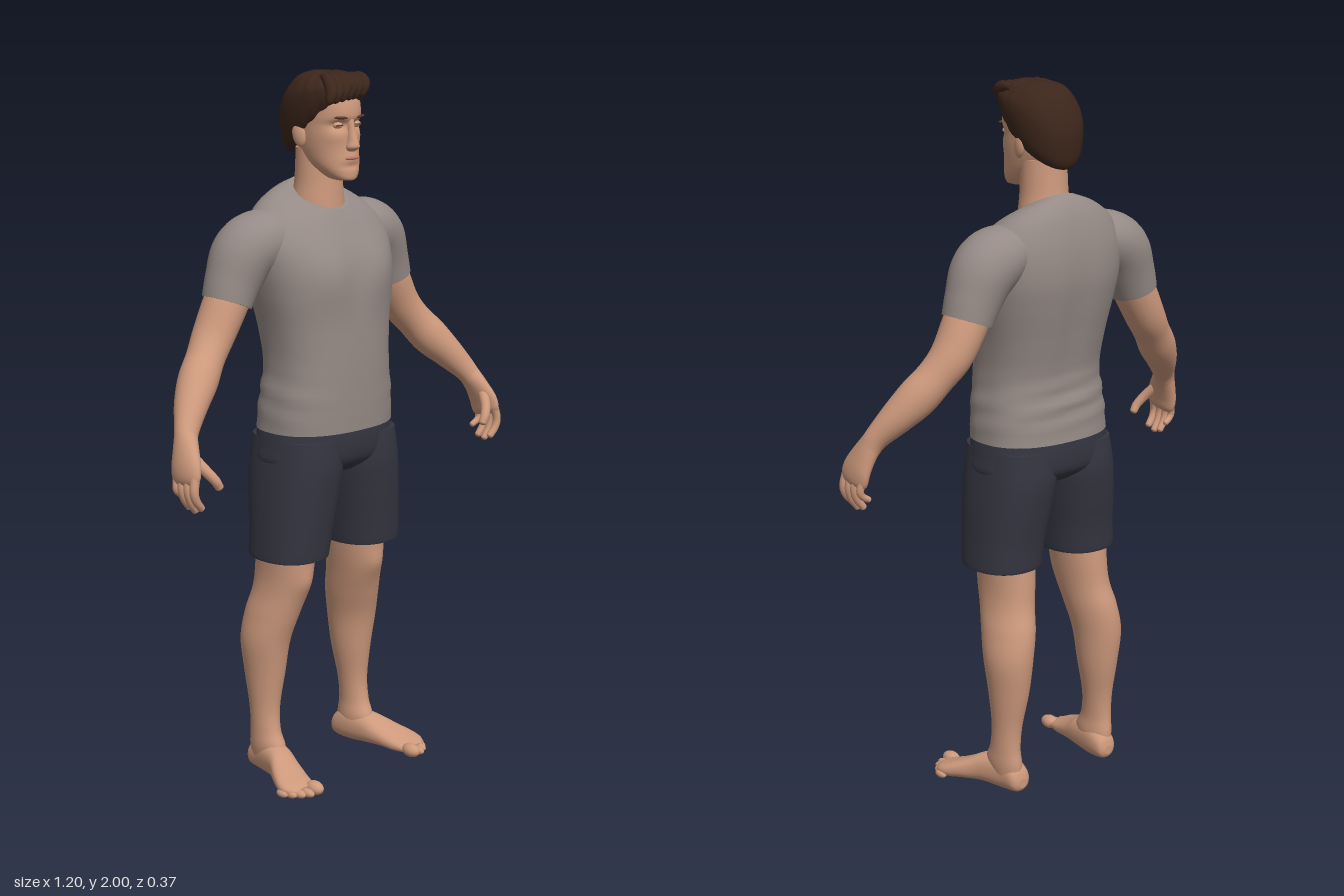
import * as THREE from 'three';

const mat = (name, color) => Object.assign(new THREE.MeshStandardMaterial({ color }), { name });
const V3 = (x, y, z) => new THREE.Vector3(x, y, z);
const bump = (x, y, cx, cy, sx, sy) => Math.exp(-(((x - cx) / sx) ** 2) - ((y - cy) / sy) ** 2);

// Smoothly subdivide a table of section rows
function refine(rows, steps) {
  const out = [], last = rows.length - 1;
  for (let i = 0; i < last; i++) {
    const [a, b, c, d] = [rows[Math.max(i - 1, 0)], rows[i], rows[i + 1], rows[Math.min(i + 2, last)]];
    for (let s = 0; s < steps; s++) {
      const t = s / steps;
      out.push(b.map((p, k) => {
        const cubic = 3 * (p - c[k]) + d[k] - a[k];
        const square = 2 * a[k] - 5 * p + 4 * c[k] - d[k];
        return p + 0.5 * t * (c[k] - a[k] + t * (square + t * cubic));
      }));
    }
  }
  out.push(rows[last]);
  return out;
}

// Skin a list of closed rings, with separate flat end caps
function loft(rings) {
  const n = rings[0].length, m = rings.length, pos = [], idx = [];
  rings.forEach(r => r.forEach(p => pos.push(p.x, p.y, p.z)));
  for (let i = 0; i < m - 1; i++) for (let j = 0; j < n; j++) {
    const a = i * n + j, b = i * n + (j + 1) % n;
    idx.push(a, b, b + n, a, b + n, a + n);
  }
  for (const [ring, end] of [[rings[0], false], [rings[m - 1], true]]) {
    const c = ring.reduce((s, p) => s.add(p), V3(0, 0, 0)).divideScalar(n);
    const base = pos.length / 3;
    [c, ...ring].forEach(p => pos.push(p.x, p.y, p.z));
    for (let j = 0; j < n; j++) {
      const a = base + 1 + j, b = base + 1 + (j + 1) % n;
      idx.push(base, end ? a : b, end ? b : a);
    }
  }
  const g = new THREE.BufferGeometry();
  g.setAttribute('position', new THREE.Float32BufferAttribute(pos, 3));
  g.setIndex(idx);
  g.computeVertexNormals();
  return g;
}

// Upright form from rows [y, centreX, halfWidth, zBack, zFront, squareness, tilt]
function column(rows, deform, seg = 48, steps = 6) {
  const sp = (v, e) => Math.sign(v) * Math.abs(v) ** e;
  return loft(refine(rows, steps).map(([y, cx, w, zb, zf, n, tilt]) =>
    Array.from({ length: seg }, (_, j) => {
      const a = j / seg * Math.PI * 2, dz = -sp(Math.sin(a), 2 / n) * (zf - zb) / 2;
      const p = V3(cx + w * sp(Math.cos(a), 2 / n), y + tilt * dz, (zf + zb) / 2 + dz);
      if (deform) deform(p, dz > 0, a);
      return p;
    })));
}

// Form along a path from rows [x, y, z, radiusAcross, radiusDepth]
function limb(rows, seg = 28, steps = 6) {
  const r = refine(rows, steps), at = i => V3(...r[Math.min(Math.max(i, 0), r.length - 1)].slice(0, 3));
  return loft(r.map((row, i) => {
    const T = at(i + 1).sub(at(i - 1)).normalize();
    const V = V3(0, 0, 1).addScaledVector(T, -T.z).normalize(), U = V.clone().cross(T);
    return Array.from({ length: seg }, (_, j) => {
      const a = j / seg * Math.PI * 2;
      return at(i).addScaledVector(U, Math.cos(a) * row[3]).addScaledVector(V, Math.sin(a) * row[4]);
    });
  }));
}

// Finger-like limb with a rounded tip
function digit(points, r) {
  const rows = points.map((p, i) => [...p, r * (1 - 0.08 * i), r * (1 - 0.08 * i)]);
  const e = points[points.length - 1], d = V3(...e).sub(V3(...points[points.length - 2])).normalize();
  for (const [k, s] of [[0.55, 0.65], [0.8, 0.15]])
    rows.push([e[0] + d.x * r * k, e[1] + d.y * r * k, e[2] + d.z * r * k, r * s, r * s]);
  return limb(rows, 12, 4);
}

const blob = (x, y, z, sx, sy, sz) => new THREE.SphereGeometry(1, 20, 14).scale(sx, sy, sz).translate(x, y, z);

function mirrored(geo) {
  const g = geo.clone().scale(-1, 1, 1), ix = g.index.array;
  for (let i = 0; i < ix.length; i += 3) [ix[i], ix[i + 1]] = [ix[i + 1], ix[i]];
  g.computeVertexNormals();
  return g;
}

export function createModel() {
  const skin = mat('skin', 0xcd997c), shirt = mat('shirt grey', 0x958a85), navy = mat('shorts navy', 0x353541);
  const hair = mat('hair brown', 0x3c261b), lip = mat('lip', 0xb98069), lash = mat('lash', 0x5a3c2e);
  const model = new THREE.Group();
  model.name = 'standingMan';
  const add = (name, geo, m) => {
    const mesh = new THREE.Mesh(geo, m);
    mesh.name = name;
    model.add(mesh);
  };
  const pair = (name, geo, m) => { add(name + 'Left', geo, m); add(name + 'Right', mirrored(geo), m); };

  // T-shirt: chest, spine groove and cloth folds are pushed into the torso
  add('shirtBody', column([
    [1.02, 0, 0.205, -0.155, 0.138, 2.4, 0], [1.1, 0, 0.2, -0.149, 0.14, 2.4, 0],
    [1.2, 0, 0.187, -0.14, 0.14, 2.4, 0], [1.3, 0, 0.194, -0.157, 0.137, 2.4, 0],
    [1.4, 0, 0.213, -0.177, 0.132, 2.4, 0], [1.48, 0, 0.226, -0.187, 0.118, 2.4, 0],
    [1.55, 0, 0.228, -0.182, 0.097, 2.3, -0.1], [1.61, 0, 0.198, -0.162, 0.073, 2.2, -0.25],
    [1.645, 0, 0.145, -0.136, 0.058, 2.1, -0.4], [1.662, 0, 0.085, -0.112, 0.048, 2, -0.5],
  ], (p, front) => {
    const x = Math.abs(p.x);
    if (front) p.z += 0.014 * bump(x, p.y, 0.095, 1.46, 0.075, 0.08) - 0.004 * bump(x, p.y, 0, 1.45, 0.03, 0.12);
    else p.z += 0.01 * bump(x, p.y, 0, 1.4, 0.035, 0.2)
      + 0.005 * Math.sin(p.y * 110 + p.x * 9) * bump(p.x, p.y, 0, 1.13, 0.2, 0.06);
    p.x *= 1 + 0.012 * Math.sin(p.y * 90 + p.z * 14) * bump(0, p.y, 0, 1.12, 1, 0.07);
  }), shirt);
  pair('sleeve', limb([
    [0.13, 1.56, -0.055, 0.07, 0.085], [0.2, 1.545, -0.06, 0.085, 0.095], [0.25, 1.51, -0.065, 0.088, 0.09],
    [0.285, 1.445, -0.067, 0.077, 0.077], [0.307, 1.39, -0.067, 0.068, 0.071],
  ], 36), shirt);

  // Shorts
  add('shortsSeat', column([
    [0.895, 0, 0.15, -0.1, 0.08, 2.4, 0], [0.93, 0, 0.212, -0.145, 0.122, 2.4, 0],
    [0.98, 0, 0.21, -0.154, 0.134, 2.4, 0], [1.035, 0, 0.2, -0.15, 0.133, 2.4, 0],
  ]), navy);
  pair('shortsLeg', column([
    [0.66, 0.138, 0.1, -0.118, 0.103, 2.3, 0], [0.668, 0.138, 0.103, -0.122, 0.106, 2.3, 0],
    [0.74, 0.131, 0.105, -0.128, 0.114, 2.3, 0], [0.83, 0.12, 0.109, -0.142, 0.124, 2.3, 0],
    [0.92, 0.108, 0.11, -0.152, 0.132, 2.3, 0], [1.0, 0.104, 0.1, -0.145, 0.128, 2.3, 0],
  ]), navy);

  // Legs with kneecap and calf
  pair('leg', column([
    [0.03, 0.173, 0.033, -0.12, -0.02, 2, 0], [0.08, 0.176, 0.039, -0.123, 0.004, 2, 0],
    [0.13, 0.178, 0.037, -0.117, -0.016, 2, 0], [0.2, 0.176, 0.041, -0.12, -0.024, 2, 0],
    [0.3, 0.172, 0.055, -0.138, -0.012, 2, 0], [0.4, 0.171, 0.066, -0.15, 0.005, 2, 0],
    [0.48, 0.158, 0.068, -0.146, 0.03, 2, 0], [0.55, 0.145, 0.065, -0.128, 0.052, 2.1, 0],
    [0.62, 0.138, 0.068, -0.122, 0.068, 2.1, 0], [0.74, 0.135, 0.08, -0.115, 0.08, 2, 0],
  ], (p, front) => { if (front) p.z += 0.009 * bump(p.x, p.y, 0.138, 0.585, 0.035, 0.04); }), skin);

  // Feet: sections run from heel to toe
  pair('foot', column([
    [-0.131, 0.168, 0.015, -0.045, -0.018, 2, 0], [-0.118, 0.169, 0.033, -0.075, -0.004, 2.2, 0],
    [-0.07, 0.172, 0.039, -0.1, 0, 2.3, 0], [0, 0.186, 0.044, -0.092, -0.003, 2.3, 0],
    [0.05, 0.206, 0.052, -0.068, -0.003, 2.3, 0], [0.095, 0.222, 0.056, -0.048, 0, 2.4, 0],
    [0.125, 0.225, 0.05, -0.037, -0.002, 2.4, 0], [0.148, 0.218, 0.036, -0.028, -0.006, 2.2, 0],
  ], null, 36).rotateX(Math.PI / 2), skin);
  [[0.195, 0.156, 0.021, 0.031], [0.222, 0.154, 0.013, 0.027], [0.243, 0.143, 0.013, 0.025],
    [0.26, 0.127, 0.012, 0.023], [0.274, 0.108, 0.012, 0.021]].forEach(([x, z, w, l], i) =>
    pair('toe' + (i + 1), blob(x, w * 0.95, z, w, w * 0.95, l), skin));

  // Arms
  pair('arm', limb([
    [0.27, 1.46, -0.065, 0.056, 0.06], [0.31, 1.39, -0.067, 0.06, 0.064], [0.357, 1.308, -0.065, 0.056, 0.06],
    [0.4, 1.253, -0.05, 0.052, 0.054], [0.446, 1.2, -0.028, 0.055, 0.054], [0.492, 1.15, -0.001, 0.046, 0.047],
    [0.538, 1.093, 0.033, 0.034, 0.033], [0.555, 1.06, 0.048, 0.028, 0.034],
  ], 32), skin);

  // Hands
  pair('palm', limb([
    [0.545, 1.085, 0.038, 0.031, 0.03], [0.562, 1.045, 0.057, 0.027, 0.042], [0.575, 1.005, 0.073, 0.024, 0.052],
    [0.579, 0.975, 0.08, 0.02, 0.051], [0.578, 0.96, 0.083, 0.01, 0.04],
  ], 24), skin);
  [[0.118, 0.905], [0.094, 0.895], [0.07, 0.9], [0.046, 0.925]].forEach(([z, tip], i) =>
    pair('finger' + (i + 1), digit([[0.578, 0.99, z - 0.004], [0.587, 0.952, z], [0.58, (tip + 0.945) / 2, z],
      [0.564, tip, z - 0.002]], i === 3 ? 0.0115 : 0.0135), skin));
  pair('thumb', digit([[0.562, 1.035, 0.08], [0.543, 1.0, 0.112], [0.524, 0.973, 0.128], [0.514, 0.957, 0.13]], 0.016), skin);

  // Neck and head with eye sockets, cheeks and mouth
  add('neck', column([
    [1.58, 0, 0.078, -0.108, 0.04, 2, 0], [1.64, 0, 0.076, -0.105, 0.037, 2, 0],
    [1.7, 0, 0.068, -0.096, 0.034, 2, 0], [1.79, 0, 0.066, -0.09, 0.03, 2, 0],
  ]), skin);
  add('head', column([
    [1.71, 0, 0.026, 0.01, 0.078, 2, -0.15], [1.724, 0, 0.045, -0.025, 0.1, 2.1, -0.25],
    [1.75, 0, 0.062, -0.06, 0.103, 2.2, -0.2], [1.785, 0, 0.071, -0.08, 0.098, 2.2, -0.08],
    [1.82, 0, 0.076, -0.092, 0.096, 2.2, 0], [1.855, 0, 0.078, -0.1, 0.096, 2.2, 0],
    [1.88, 0, 0.079, -0.11, 0.103, 2.2, 0], [1.92, 0, 0.079, -0.112, 0.097, 2.2, 0],
    [1.955, 0, 0.066, -0.095, 0.08, 2, 0], [1.978, 0, 0.03, -0.05, 0.04, 2, 0],
  ], (p, front) => {
    const x = Math.abs(p.x);
    if (front) p.z += 0.004 * bump(x, p.y, 0.052, 1.825, 0.025, 0.02) - 0.012 * bump(x, p.y, 0.034, 1.856, 0.022, 0.014)
      + 0.004 * bump(x, p.y, 0, 1.768, 0.028, 0.016) - 0.004 * bump(x, p.y, 0, 1.746, 0.03, 0.008);
  }, 72, 9), skin);
  add('nose', column([
    [1.786, 0, 0.012, 0.08, 0.106, 2, 0], [1.797, 0, 0.019, 0.08, 0.122, 2, 0],
    [1.815, 0, 0.014, 0.08, 0.119, 2, 0], [1.845, 0, 0.01, 0.08, 0.108, 2, 0], [1.875, 0, 0.011, 0.08, 0.101, 2, 0],
  ], null, 24), skin);
  add('mouth', blob(0, 1.768, 0.1, 0.025, 0.006, 0.006), lip);
  pair('ear', blob(0, 0, 0, 0.012, 0.034, 0.021).rotateX(-0.2).rotateY(-0.25).translate(0.08, 1.828, -0.022), skin);
  pair('eyelid', blob(0.034, 1.856, 0.08, 0.016, 0.009, 0.01), skin);
  pair('eyeLine', blob(0.034, 1.856, 0.0865, 0.014, 0.0025, 0.004), lash);
  pair('eyebrow', blob(0, 0, 0, 0.021, 0.004, 0.005).rotateY(0.3).rotateZ(0.06).translate(0.037, 1.877, 0.095), lash);

  // Hair: cap lower at the nape, with swept locks over the brow
  add('hairCap', column([
    [1.842, 0, 0.08, -0.105, 0.086, 2.1, 0.76], [1.85, 0, 0.087, -0.125, 0.1, 2.1, 0.72],
    [1.875, 0, 0.095, -0.138, 0.108, 2.2, 0.6], [1.915, 0, 0.099, -0.141, 0.108, 2.2, 0.36],
    [1.95, 0, 0.093, -0.124, 0.104, 2.1, 0.18], [1.982, 0, 0.066, -0.088, 0.08, 2, 0.04],
    [1.995, 0, 0.028, -0.045, 0.045, 2, 0],
  ], (p, front, a) => { if (front) p.y += 0.003 * Math.sin(a * 18 + p.x * 30); }, 72), hair);
  for (let i = 0; i < 6; i++) {
    const x = 0.052 - i * 0.024, drop = i * 0.003;
    add('hairLock' + (i + 1), limb([
      [x + 0.022, 1.978, 0.02, 0.008, 0.008], [x + 0.012, 1.976, 0.065, 0.018, 0.016],
      [x, 1.962 - drop, 0.092, 0.017, 0.017], [x - 0.012, 1.938 - drop, 0.096, 0.011, 0.011],
      [x - 0.016, 1.928 - drop, 0.094, 0.002, 0.002],
    ], 14), hair);
  }
  return model;
}
